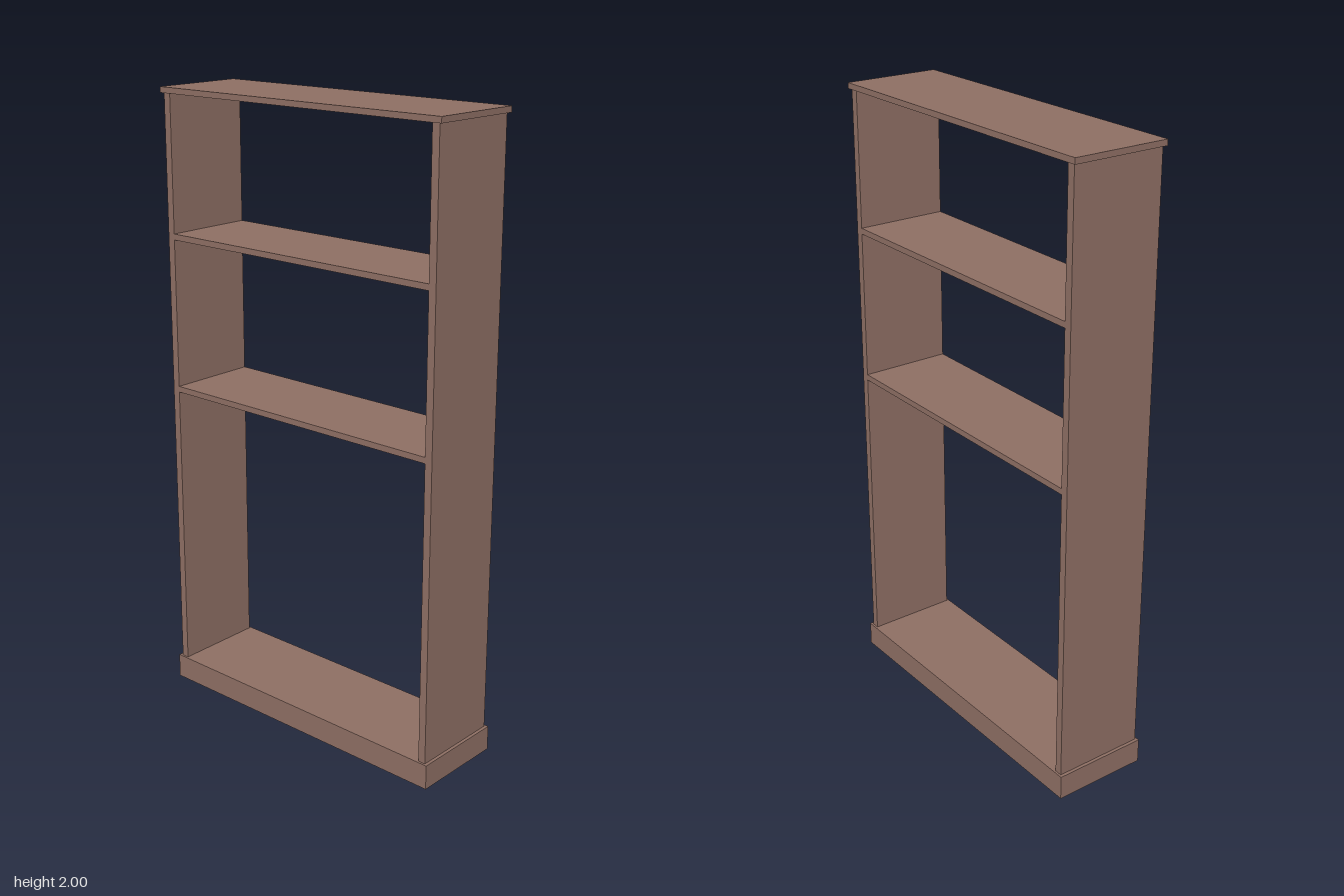
import * as THREE from 'three';

export function createModel() {
  const group = new THREE.Group();
  const wood = new THREE.MeshStandardMaterial({ color: 0x8d6e63 });
  wood.name = 'brown wood';

  const add = (name, geometry, x, y, z = 0) => {
    const mesh = new THREE.Mesh(geometry, wood);
    mesh.name = name;
    mesh.position.set(x, y, z);
    group.add(mesh);
    return mesh;
  };
  // board given by its width, bottom, top and depth
  const board = (name, w, y0, y1, d, x = 0) =>
    add(name, new THREE.BoxGeometry(w, y1 - y0, d), x, (y0 + y1) / 2);

  // plinth and overhanging top
  board('base', 1.08, 0, 0.08, 0.314);
  board('topBoard', 1.08, 1.982, 2, 0.314);

  // upright side panels
  board('leftPanel', 0.025, 0.08, 1.982, 0.3, 0.517);
  board('rightPanel', 0.025, 0.08, 1.982, 0.3, -0.517);

  // shelves between the panels
  board('upperShelf', 1.009, 1.531, 1.55, 0.3);
  board('lowerShelf', 1.009, 1.033, 1.052, 0.3);

  // hanging rail under the lower shelf
  const rail = add('hangingRail', new THREE.CylinderGeometry(0.006, 0.006, 1.009, 16), 0, 0.985);
  rail.rotation.z = Math.PI / 2;

  return group;
}
